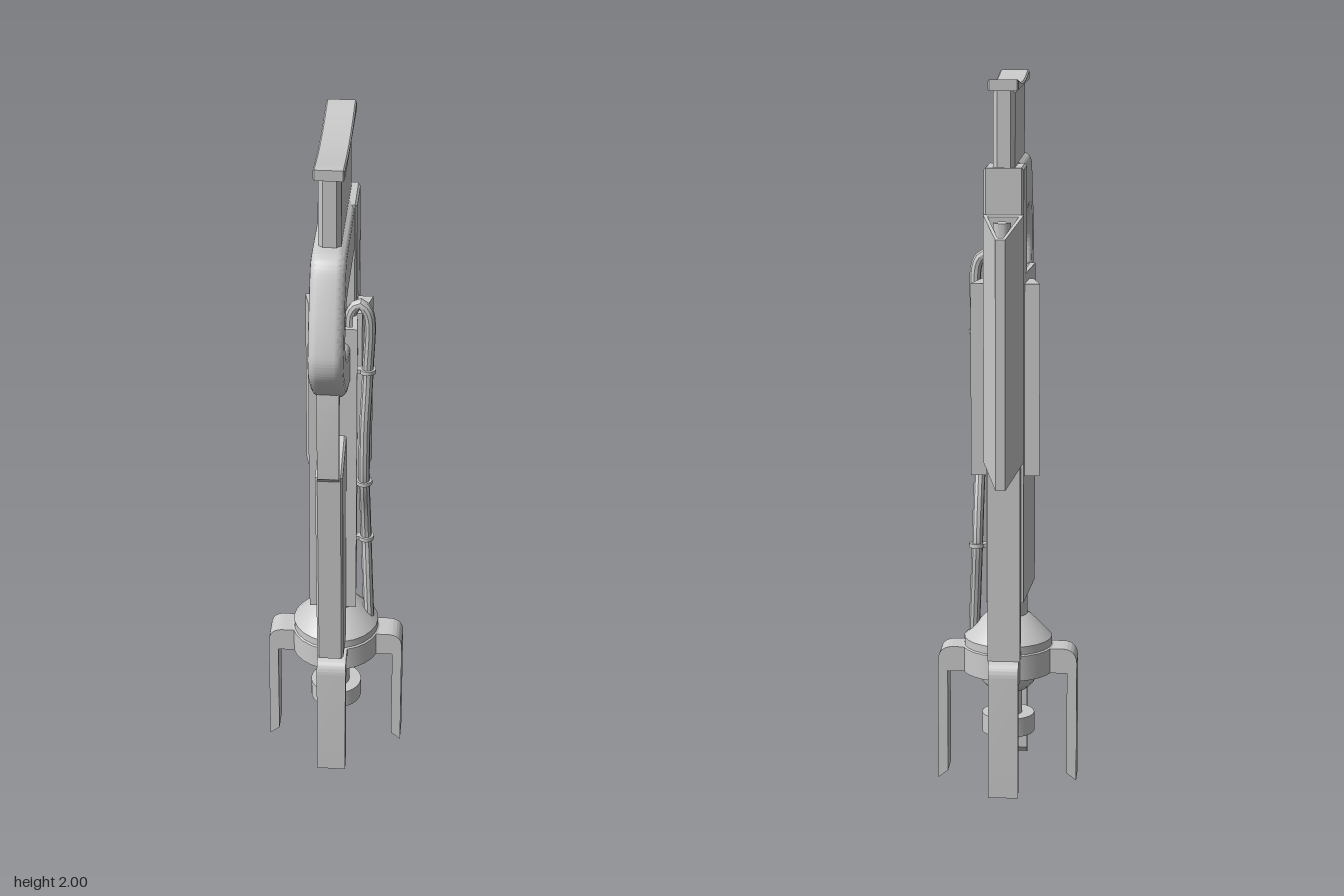
import * as THREE from 'three';
import { toCreasedNormals } from 'three/addons/utils/BufferGeometryUtils.js';

const HUB_Z = -0.053;

export function createModel() {
  const model = new THREE.Group();
  const material = new THREE.MeshStandardMaterial({ color: 0xcccccc, side: THREE.DoubleSide });

  function add(name, geometry, parent = model) {
    const mesh = new THREE.Mesh(toCreasedNormals(geometry, 0.6), material);
    mesh.name = name;
    parent.add(mesh);
    return mesh;
  }
  const toShape = (pts) => new THREE.Shape(pts.map(([a, b]) => new THREE.Vector2(a, b)));

  // Extrude a side profile (z, y) across x, keeping its outline when bevelled
  function profile(shape, width, bevel = 0, segments = 1) {
    const geo = new THREE.ExtrudeGeometry(shape, {
      depth: width - 2 * bevel, bevelEnabled: bevel > 0, bevelThickness: bevel,
      bevelSize: bevel, bevelOffset: -bevel, bevelSegments: segments, curveSegments: 32,
    });
    return geo.translate(0, 0, bevel - width / 2).rotateY(-Math.PI / 2);
  }
  // Extrude a plan outline (x, z) from y0 to y1
  function plan(pts, y0, y1, hole) {
    const flip = (list) => list.map(([x, z]) => new THREE.Vector2(x, -z));
    const shape = new THREE.Shape(flip(pts));
    if (hole) shape.holes.push(new THREE.Path(flip(hole)));
    const geo = new THREE.ExtrudeGeometry(shape, { depth: y1 - y0, bevelEnabled: false });
    return geo.rotateX(-Math.PI / 2).translate(0, y0, 0);
  }
  const box = (x0, x1, y0, y1, z0, z1) => new THREE.BoxGeometry(x1 - x0, y1 - y0, z1 - z0)
    .translate((x0 + x1) / 2, (y0 + y1) / 2, (z0 + z1) / 2);

  // Tapered body: walls with a slightly sunken core
  const inner = [[-0.052, 0.06], [0.052, 0.06], [0.04, -0.165], [-0.04, -0.165]];
  add('bodyShell', plan([[-0.067, 0.075], [0.067, 0.075], [0.052, -0.18], [-0.052, -0.18]], 0.55, 1.47, inner));
  add('bodyCore', plan(inner, 0.57, 1.43));
  add('backRail', box(-0.045, 0.045, 0.39, 1.765, -0.22, -0.175));
  add('receiver', profile(toShape([[-0.08, 1.42], [-0.08, 1.765], [-0.217, 1.765], [-0.217, 1.42]]), 0.108, 0.006));

  // Wedge-shaped plates on both sides
  for (const s of [-1, 1]) {
    add('sidePlate', plan([[s * 0.05, -0.163], [s * 0.095, -0.163], [s * 0.071, -0.06], [s * 0.05, -0.06]], 0.91, 1.445));
  }

  // Stock and its concave end plate
  add('stock', profile(toShape([[0.18, 1.75], [0.18, 1.975], [-0.212, 1.975], [-0.212, 1.75]]), 0.06, 0.012));
  const butt = toShape([[-0.238, 1.97], [0.203, 1.97]]);
  butt.lineTo(0.203, 2.0);
  butt.lineTo(0.17, 1.998);
  butt.quadraticCurveTo(-0.02, 1.967, -0.205, 1.998);
  butt.lineTo(-0.238, 2.0);
  add('endPlate', profile(butt, 0.082, 0.004));

  // Rounded loop handle
  const v = (a, b) => new THREE.Vector2(a, b);
  const loop = new THREE.Shape();
  loop.moveTo(-0.1, 1.77);
  loop.lineTo(0.17, 1.77);
  loop.splineThru([v(0.215, 1.765), v(0.25, 1.735), v(0.295, 1.64), v(0.327, 1.55), v(0.335, 1.495),
    v(0.315, 1.44), v(0.25, 1.37), v(0.17, 1.315), v(0.05, 1.28)]);
  loop.lineTo(0.05, 1.43);
  loop.lineTo(0.115, 1.43);
  loop.splineThru([v(0.155, 1.44), v(0.205, 1.475), v(0.23, 1.515), v(0.225, 1.56), v(0.2, 1.6), v(0.15, 1.612)]);
  loop.lineTo(-0.1, 1.61);
  add('loopHandle', profile(loop, 0.094, 0.024, 4));

  // Foregrip, guard strap and trigger
  add('foregrip', profile(toShape([[0.07, 0.435], [0.174, 0.435], [0.215, 1.083], [0.07, 1.135]]), 0.076, 0.006));
  add('triggerGuard', profile(toShape([[0.2, 1.07], [0.215, 1.07], [0.243, 1.095], [0.243, 1.3], [0.235, 1.38],
    [0.205, 1.36], [0.228, 1.27], [0.23, 1.105]]), 0.06));
  const trigger = toShape([[0.07, 1.35], [0.17, 1.35], [0.168, 1.22]]);
  trigger.quadraticCurveTo(0.135, 1.275, 0.07, 1.275);
  add('trigger', profile(trigger, 0.03));

  // Hollow triangular housing with slanted ends, and the tube inside
  const housing = plan([[-0.055, -0.223], [0.055, -0.223], [0.013, -0.336], [-0.013, -0.336]], 0.96, 1.64,
    [[-0.042, -0.232], [0.042, -0.232], [0.008, -0.326], [-0.008, -0.326]]);
  const pos = housing.attributes.position;
  for (let i = 0; i < pos.count; i++) pos.setY(i, pos.getY(i) + (pos.getZ(i) + 0.223) * 0.47);
  add('rearHousing', housing);
  add('rearTube', new THREE.CylinderGeometry(0.024, 0.024, 0.69, 20).translate(0, 1.28, -0.272));

  // Turned hub, flared collar and lower tip
  const hub = [[0, 0.11], [0.03, 0.11], [0.045, 0.135], [0.075, 0.135], [0.075, 0.19], [0.04, 0.19], [0.04, 0.262],
    [0.055, 0.265], [0.075, 0.285], [0.082, 0.32], [0.13, 0.32], [0.13, 0.392], [0.125, 0.395], [0.125, 0.418],
    [0.068, 0.478], [0.055, 0.485], [0.055, 0.58], [0, 0.58]];
  add('hub', new THREE.LatheGeometry(hub.map(([r, y]) => v(r, y)), 24).translate(0, 0, HUB_Z));

  // Four bent prongs around the hub
  const prong = toShape([[0.11, 0.32], [0.17, 0.32], [0.17, 0.022], [0.198, 0], [0.198, 0.35]]);
  prong.quadraticCurveTo(0.196, 0.39, 0.158, 0.392);
  prong.lineTo(0.11, 0.392);
  for (let i = 0; i < 4; i++) {
    const mesh = add('prong', profile(prong, 0.084));
    mesh.position.z = HUB_Z;
    mesh.rotation.y = i * Math.PI / 2;
  }

  // Hose on the left side, with clamps
  const hose = new THREE.CatmullRomCurve3([
    [0.04, 1.41, -0.01], [0.045, 1.48, -0.01], [0.068, 1.505, -0.008], [0.09, 1.48, -0.007], [0.09, 1.29, -0.02],
    [0.083, 1.1, -0.015], [0.082, 0.92, -0.025], [0.083, 0.8, -0.065], [0.085, 0.69, -0.085],
    [0.09, 0.58, -0.07], [0.098, 0.41, -0.05],
  ].map((p) => new THREE.Vector3(...p)));
  add('hose', new THREE.TubeGeometry(hose, 80, 0.016, 10));
  for (const [x, y, z] of [[0.09, 1.29, -0.02], [0.082, 0.92, -0.025], [0.085, 0.69, -0.085]]) {
    add('hoseClamp', new THREE.CylinderGeometry(0.023, 0.023, 0.012, 12).translate(x, y, z));
    add('clampBracket', box(0.04, x, y - 0.006, y + 0.006, z - 0.012, z + 0.012));
  }

  return model;
}
